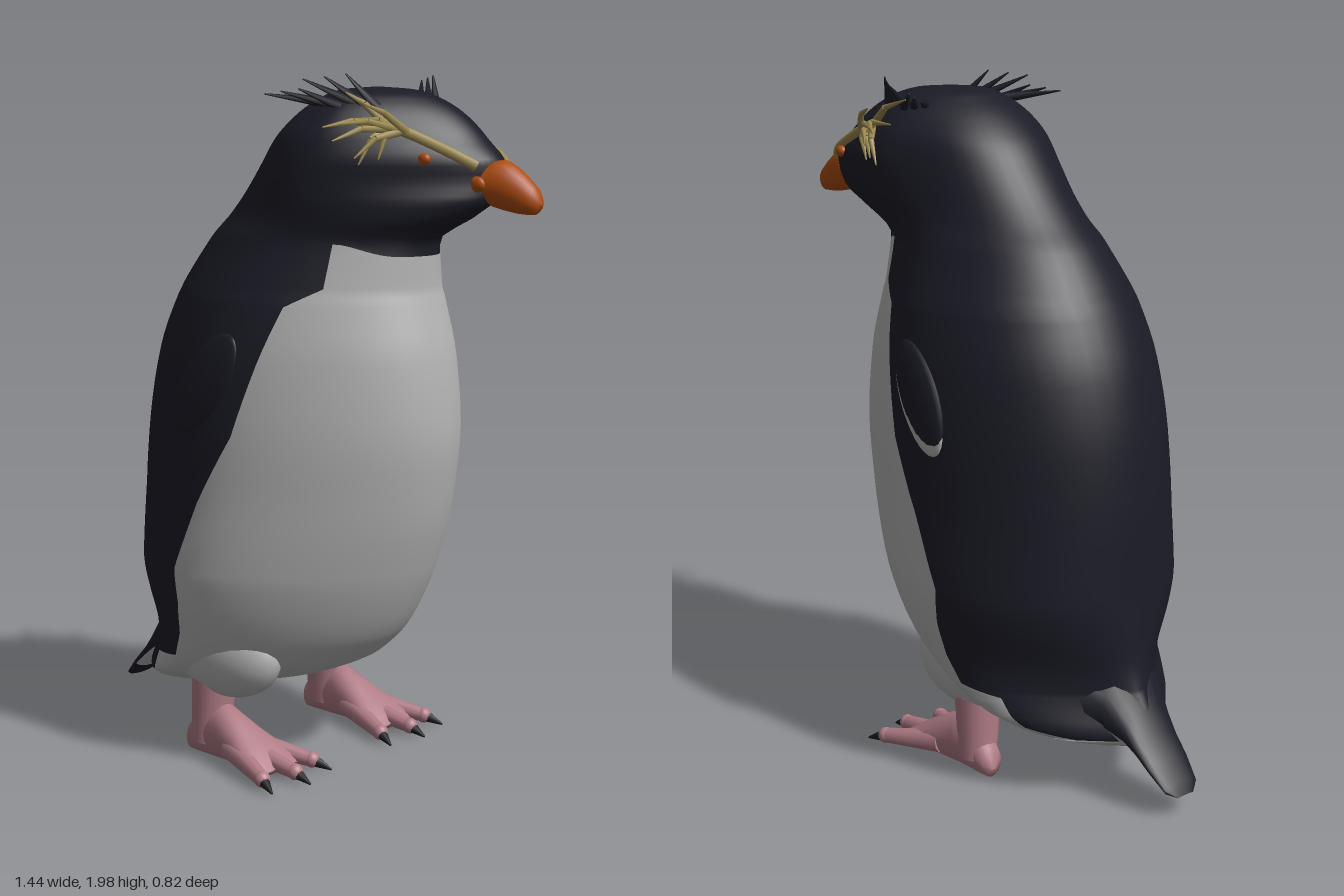
import * as THREE from 'three';

const mat = (name, color) => Object.assign(new THREE.MeshStandardMaterial({ color }), { name });
const V = (x, y, z) => new THREE.Vector3(x, y, z);
const smooth = THREE.MathUtils.smoothstep;

// Body cross-sections: y, back x, front x, half width, x where belly meets back
const BODY = [
  [0.145, -0.461, -0.46, 0.0005, -0.9], [0.16, -0.57, -0.27, 0.12, -0.9],
  [0.19, -0.6, -0.1, 0.225, -0.46], [0.22, -0.59, 0.01, 0.285, -0.35],
  [0.25, -0.575, 0.105, 0.32, -0.32], [0.3, -0.547, 0.215, 0.35, -0.29],
  [0.32, -0.537, 0.247, 0.357, -0.17], [0.4, -0.517, 0.325, 0.378, -0.13],
  [0.5, -0.51, 0.38, 0.4, -0.115], [0.6, -0.505, 0.42, 0.41, -0.12],
  [0.8, -0.5, 0.475, 0.402, -0.03], [1.0, -0.485, 0.5, 0.395, 0.08],
  [1.2, -0.445, 0.485, 0.375, 0.14], [1.36, -0.38, 0.45, 0.338, 0.19],
  [1.41, -0.352, 0.44, 0.318, 0.275], [1.53, -0.268, 0.44, 0.268, 0.28],
  [1.6, -0.2, 0.54, 0.25, 0.32], [1.66, -0.145, 0.595, 0.25, 0.32],
  [1.74, -0.08, 0.6, 0.248, 0.32], [1.81, -0.025, 0.545, 0.235, 0.32],
  [1.87, 0.04, 0.49, 0.2, 0.32], [1.92, 0.115, 0.42, 0.145, 0.3],
  [1.945, 0.17, 0.35, 0.085, 0.28], [1.953, 0.2595, 0.2605, 0.0005, 0.26],
];

// Smooth interpolation of one cross-section column at height y
function bodyAt(y) {
  const n = BODY.length;
  let k = 0;
  while (k < n - 2 && y > BODY[k + 1][0]) k++;
  const a = BODY[k], b = BODY[k + 1], p = BODY[Math.max(k - 1, 0)], q = BODY[Math.min(k + 2, n - 1)];
  const h = b[0] - a[0], t = (y - a[0]) / h;
  const col = (c) => {
    const d = (b[c] - a[c]) / h;
    const d0 = k > 0 ? (a[c] - p[c]) / (a[0] - p[0]) : d;
    const d1 = k < n - 2 ? (q[c] - b[c]) / (q[0] - b[0]) : d;
    const slope = (u, v) => (u * v <= 0 ? 0 : (2 * u * v) / (u + v));
    const t2 = t * t, t3 = t2 * t;
    return a[c] * (1 - 3 * t2 + 2 * t3) + b[c] * (3 * t2 - 2 * t3)
      + h * (slope(d0, d) * (t3 - 2 * t2 + t) + slope(d, d1) * (t3 - t2));
  };
  const back = col(1), front = col(2);
  return { c: (back + front) / 2, r: (front - back) / 2, w: col(3), xb: a[4] + (b[4] - a[4]) * t };
}

// Point on the body: the front narrows and turns to one side, the rump narrows into the tail
function bodyPoint(y, angle) {
  const { c, r, w } = bodyAt(y);
  const head = smooth(y, 1.5, 1.72), rump = 1 - smooth(y, 0.2, 0.6);
  const cos = Math.cos(angle), x = c + r * cos;
  const pinch = cos > 0 ? 1 - (0.16 + 0.15 * head) * cos : 1 - 0.8 * rump * cos * cos;
  const turn = 0.035 * (1 - head) * smooth(x, -0.05, 0.5) + 0.14 * head * smooth(x, 0.1, 0.62);
  return V(x, y, w * Math.sin(angle) * pinch - turn);
}
function onBody(x, y, side, lift = 0) {
  const { c, r } = bodyAt(y);
  const p = bodyPoint(y, side * Math.acos(THREE.MathUtils.clamp((x - c) / r, -1, 1)));
  p.z += side * lift;
  return p;
}

// Skin closed rings; pick(row, column) chooses the material index
function loft(name, rings, materials, pick = () => 0) {
  const n = rings[0].length, lists = materials.map(() => []);
  for (let j = 0; j < rings.length - 1; j++) {
    for (let i = 0; i < n; i++) {
      const a = j * n + i, b = j * n + ((i + 1) % n);
      lists[pick(j, i)].push(a, a + n, b, b, a + n, b + n);
    }
  }
  const geo = new THREE.BufferGeometry().setFromPoints(rings.flat());
  geo.setIndex(lists.flat());
  let start = 0;
  lists.forEach((l, i) => { geo.addGroup(start, l.length, i); start += l.length; });
  geo.computeVertexNormals();
  const mesh = new THREE.Mesh(geo, materials);
  mesh.name = name;
  return mesh;
}

// Elliptical rings along +x from sections of x, y, z, half height, half width
const ringsAlongX = (sections, n = 20) => sections.map(([x, y, z, ry, rz]) =>
  Array.from({ length: n }, (_, i) => {
    const t = (i / n) * Math.PI * 2;
    return V(x, y + ry * Math.sin(t), z + rz * Math.cos(t));
  }));

// Tapered rod between two points
function rod(name, from, to, r0, r1, material, sides = 8) {
  const dir = to.clone().sub(from);
  const mesh = new THREE.Mesh(new THREE.CylinderGeometry(r1, r0, dir.length(), sides), material);
  mesh.position.copy(from).addScaledVector(dir, 0.5);
  mesh.quaternion.setFromUnitVectors(V(0, 1, 0), dir.normalize());
  mesh.name = name;
  return mesh;
}

function ball(name, pos, scale, material) {
  const mesh = new THREE.Mesh(new THREE.SphereGeometry(1, 24, 16), material);
  mesh.position.copy(pos);
  mesh.scale.set(...scale);
  mesh.name = name;
  return mesh;
}

export function createModel() {
  const model = new THREE.Group();
  model.name = 'penguin';
  const dark = mat('darkPlumage', 0x1b1b26), white = mat('bellyWhite', 0xb4b4b4);
  const pink = mat('footPink', 0xb07c86), orange = mat('beakOrange', 0xac4c0c);
  const yellow = mat('crestYellow', 0x9c8a50), black = mat('clawBlack', 0x1c1c20);

  // Body and head, with columns aligned to the belly edge, which dips at the throat
  const HALF = 28, SUB = 4, rings = [];
  for (let k = 0; k < BODY.length - 1; k++) {
    for (let s = 0; s < SUB + (k === BODY.length - 2 ? 1 : 0); s++) {
      const y = BODY[k][0] + ((BODY[k + 1][0] - BODY[k][0]) * s) / SUB;
      const { c, r, xb } = bodyAt(y);
      const edge = Math.acos(THREE.MathUtils.clamp((xb - c) / r, -0.98, 0.9));
      const dip = 0.035 * Math.exp(-(((y - 1.53) / 0.05) ** 2));
      rings.push(Array.from({ length: HALF * 2 }, (_, i) => {
        const angle = i < HALF
          ? -edge + (2 * edge * i) / HALF
          : edge + ((2 * Math.PI - 2 * edge) * (i - HALF)) / HALF;
        return bodyPoint(y - dip * smooth(Math.cos(angle), 0.55, 0.95), angle);
      }));
    }
  }
  const neckRow = BODY.findIndex((b) => b[0] === 1.53) * SUB;
  model.add(loft('body', rings, [dark, white], (j, i) => (j < neckRow && i < HALF ? 1 : 0)));

  // Tail, pale beneath near the body
  model.add(loft('tail', ringsAlongX([
    [-0.72, 0.065, 0, 0.002, 0.03], [-0.7, 0.085, 0, 0.016, 0.062], [-0.65, 0.133, 0, 0.026, 0.076],
    [-0.6, 0.178, 0, 0.035, 0.083], [-0.56, 0.215, 0, 0.06, 0.092], [-0.5, 0.26, 0, 0.098, 0.12],
    [-0.4, 0.28, 0, 0.11, 0.19], [-0.28, 0.3, 0, 0.1, 0.25],
  ]), [dark, white], (j, i) => (j >= 2 && i >= 11 && i < 19 ? 1 : 0)));

  // Hooked beak
  model.add(loft('beak', ringsAlongX([
    [0.53, 1.7, -0.12, 0.015, 0.04], [0.565, 1.695, -0.132, 0.04, 0.062], [0.59, 1.692, -0.138, 0.063, 0.06],
    [0.62, 1.688, -0.143, 0.068, 0.052], [0.65, 1.676, -0.149, 0.062, 0.046], [0.68, 1.662, -0.155, 0.051, 0.038],
    [0.705, 1.649, -0.162, 0.037, 0.029], [0.717, 1.643, -0.165, 0.02, 0.016], [0.721, 1.64, -0.166, 0.002, 0.002],
  ]), [orange]));

  for (const s of [1, -1]) {
    const side = s > 0 ? 'left' : 'right';
    const add = (...meshes) => model.add(...meshes);
    add(ball(side + 'Eye', onBody(0.48, 1.76, s, 0.004), [0.019, 0.016, 0.014], orange));
    add(ball(side + 'BeakCorner', onBody(0.575, 1.692, s), [0.027, 0.022, 0.014], orange));

    // Flipper lying against the flank
    const flipper = new THREE.Group();
    flipper.name = side + 'Flipper';
    flipper.add(ball('flipperBlade', V(0, 0, 0), [0.078, 0.168, 0.022], dark));
    if (s < 0) flipper.add(ball('flipperEdge', V(0.008, -0.012, 0.001), [0.077, 0.168, 0.019], white));
    flipper.position.set(-0.02, 1.14, s * 0.376);
    flipper.rotation.set(-0.11 * s, 0, -0.6);
    add(flipper);

    // Leg, foot, toes and claws
    const z = s * 0.26;
    const leg = rod(side + 'Leg', V(-0.125, 0.05, z), V(-0.115, 0.24, z * 0.96), 0.056, 0.068, pink, 20);
    add(leg, ball(side + 'Thigh', V(-0.07, 0.33, z * 0.94), [0.2, 0.135, 0.1], white));
    add(loft(side + 'Foot', ringsAlongX([
      [-0.2, 0.03, z, 0.002, 0.004], [-0.19, 0.05, z, 0.045, 0.035], [-0.14, 0.08, z, 0.075, 0.05],
      [-0.06, 0.09, z, 0.085, 0.055], [0.02, 0.07, z, 0.062, 0.07],
      [0.09, 0.05, z, 0.042, 0.088], [0.14, 0.035, z, 0.024, 0.095], [0.16, 0.03, z, 0.002, 0.08],
    ]), [pink]));
    for (const [dz, tip] of [[-0.105, 0.185], [0, 0.215], [0.105, 0.185]]) {
      const end = V(tip, 0.034, z + dz);
      add(rod(side + 'Toe', V(0, 0.062, z + dz * 0.35), end, 0.036, 0.022, pink, 10));
      add(ball(side + 'ToeTip', end, [0.024, 0.024, 0.023], pink));
      add(rod(side + 'Claw', end, V(tip + 0.058, 0.012, z + dz * 1.2), 0.02, 0.003, black));
    }

    // Yellow brow following the head
    const xs = s > 0 ? [0.575, 0.54, 0.48, 0.43, 0.39] : [0.565, 0.52, 0.45, 0.39, 0.34];
    const ys = [1.74, 1.765, 1.8, 1.828, 1.845];
    const path = new THREE.CatmullRomCurve3(xs.map((x, i) => onBody(x, ys[i], s, 0.003)));
    const brow = new THREE.Mesh(new THREE.TubeGeometry(path, 24, 0.015, 8), yellow);
    brow.name = side + 'Brow';
    add(brow);

    // Yellow strands fanning out and back from the brow, bent in the middle
    const strands = [[-0.02, -0.1, 0.1], [-0.05, -0.03, 0.2], [-0.07, 0.02, 0.18], [-0.05, 0.08, 0.13],
      [-0.09, 0.09, 0.07], [0.0, -0.08, 0.07], [-0.04, -0.07, 0.15], [-0.1, 0.04, 0.11], [-0.06, 0, 0.2]];
    strands.forEach(([dx, dy, dz], i) => {
      const root = path.getPoint(1 - 0.09 * (i % 4));
      const reach = s > 0 ? V(dx, dy, dz) : V(dx * 1.7 - 0.06, dy, -dz * 0.6);
      const mid = root.clone().addScaledVector(reach, 0.5).add(V(0, 0.016, s * 0.012));
      add(rod(side + 'CrestRoot', root, mid, 0.012, 0.009, yellow, 6));
      add(rod(side + 'CrestStrand', mid, root.clone().add(reach), 0.009, 0.002, yellow, 6));
    });

    // Dark crest spikes above the brow
    for (let i = 0; i < 6; i++) {
      const root = onBody(0.34 - 0.025 * i, 1.895 + 0.006 * (i % 3), s, -0.015);
      const tip = root.clone().add(V(-0.06 - 0.014 * i, 0.09 - 0.013 * i, s * (0.06 + 0.028 * (i % 3))));
      add(rod(side + 'CrestSpike', root, tip, 0.015, 0.002, dark, 6));
    }
  }
  return model;
}
